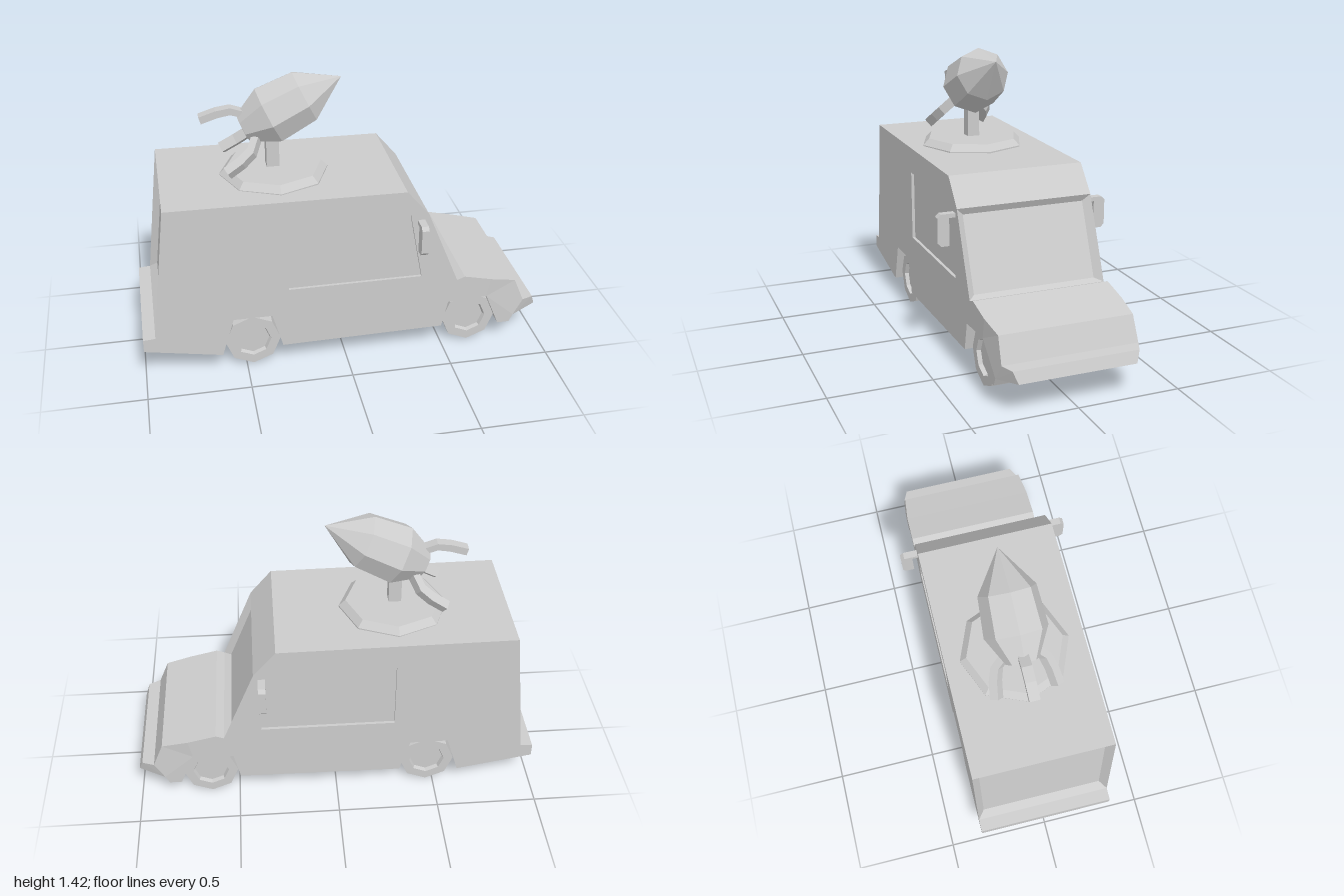
import * as THREE from 'three';

const material = new THREE.MeshStandardMaterial({ color: 0xcccccc, flatShading: true, side: THREE.DoubleSide });
const HALF = 0.34; // half width of the van

function add(parent, name, geometry, x = 0, y = 0, z = 0) {
  const mesh = new THREE.Mesh(geometry, material);
  mesh.name = name;
  mesh.position.set(x, y, z);
  parent.add(mesh);
  return mesh;
}

const lathe = (points, sides = 8) =>
  new THREE.LatheGeometry(points.map(([r, y]) => new THREE.Vector2(r, y)), sides);

// Flat plate from an outline, centred on its thickness
function plate(points, depth) {
  const shape = new THREE.Shape(points.map(([x, y]) => new THREE.Vector2(x, y)));
  return new THREE.ExtrudeGeometry(shape, { depth, bevelEnabled: false }).translate(0, 0, -depth / 2);
}

// Symmetric shell from a counter-clockwise side outline of { x, y, w (half width), recess }.
// Edges marked with recess get a framed, sunken panel; hole is a sunken side window.
function shell(outline, hole = []) {
  const pos = [];
  const quad = (a, b, c, d) => pos.push(...a, ...b, ...c, ...a, ...c, ...d);
  const sunken = (outer, inner) => {
    outer.forEach((o, k) => quad(o, outer[(k + 1) % 4], inner[(k + 1) % 4], inner[k]));
    quad(...inner);
  };
  const across = (a, b, wa, wb) => [[a.x, a.y, wa], [a.x, a.y, -wa], [b.x, b.y, -wb], [b.x, b.y, wb]];

  // Strips across the width
  outline.forEach((a, i) => {
    const b = outline[(i + 1) % outline.length];
    const outer = across(a, b, a.w, b.w);
    if (!a.recess) return quad(...outer);
    const dx = b.x - a.x, dy = b.y - a.y, len = Math.hypot(dx, dy);
    const at = t => ({ x: a.x + dx * t - dy / len * a.recess, y: a.y + dy * t + dx / len * a.recess });
    sunken(outer, across(at(0.06), at(0.94), a.w - 0.035, b.w - 0.035));
  });

  // Both sides
  const v2 = p => new THREE.Vector2(p.x, p.y);
  const all = [...outline, ...hole];
  const faces = THREE.ShapeUtils.triangulateShape(outline.map(v2), hole.length ? [hole.map(v2)] : []);
  for (const s of [1, -1]) {
    for (const f of faces) {
      const order = s > 0 ? f : [f[2], f[1], f[0]];
      order.forEach(i => pos.push(all[i].x, all[i].y, s * all[i].w));
    }
    if (hole.length) {
      const ring = s > 0 ? [...hole].reverse() : hole;
      sunken(ring.map(p => [p.x, p.y, s * p.w]), ring.map(p => [p.x, p.y, s * (p.w - 0.015)]));
    }
  }
  const geometry = new THREE.BufferGeometry();
  geometry.setAttribute('position', new THREE.Float32BufferAttribute(pos, 3));
  geometry.computeVertexNormals();
  return geometry;
}

const point = ([x, y, w = HALF, recess = 0]) => ({ x, y, w, recess });

export function createModel() {
  const model = new THREE.Group();
  model.name = 'van';

  // Van body with wheel arches, sunken windscreen, rear door and side windows
  const body = [
    [-1, 0.165], [-0.62, 0.095], [-0.56, 0.295], [-0.37, 0.295], [-0.32, 0.115],
    [0.49, 0.125], [0.52, 0.265], [0.72, 0.275], [0.74, 0.373], [0.6, 0.405],
    [0.56, 0.39, HALF, 0.03], [0.4, 0.78], [0.29, 0.91],
    [-0.86, 0.92, HALF, 0.035], [-0.94, 0.235], [-1, 0.23],
  ].map(point);
  const sideWindow = [[-0.285, 0.785], [0.31, 0.785], [0.375, 0.435], [-0.285, 0.435]].map(point);
  add(model, 'body', shell(body, sideWindow));

  // Tapered nose with bumper
  const nose = [
    [0.72, 0.275], [0.79, 0.105], [0.85, 0.105], [0.87, 0.145], [1, 0.165, 0.285],
    [0.98, 0.22, 0.305], [0.92, 0.225, 0.332], [0.87, 0.345, 0.327], [0.74, 0.373],
  ].map(point);
  add(model, 'nose', shell(nose));

  // Wheels with sunken hubs, and door mirrors
  const wheel = lathe([[0, -0.065], [0.137, -0.065], [0.137, 0.065], [0.09, 0.065], [0.083, 0.045], [0, 0.045]]);
  const mirror = plate([
    [0.335, 0.735], [0.37, 0.735], [0.37, 0.6], [0.41, 0.6],
    [0.427, 0.618], [0.427, 0.738], [0.41, 0.755], [0.335, 0.755],
  ], 0.035);
  for (const s of [1, -1]) {
    for (const [x, end] of [[-0.465, 'rear'], [0.64, 'front']]) {
      add(model, end + 'Wheel', wheel, x, 0.14, s * 0.24).rotation.x = s * Math.PI / 2;
    }
    add(model, 'doorMirror', mirror, 0.362).rotation.y = -s * Math.PI / 2;
  }

  // Roof mount
  add(model, 'roofBase', lathe([[0, -0.01], [0.267, -0.01], [0.267, 0.005], [0.235, 0.037], [0, 0.037]]), -0.3, 0.915);
  add(model, 'post', new THREE.BoxGeometry(0.062, 0.2, 0.062), -0.305, 1.03);

  // Tilted rocket: local y runs from tail to tip
  const rocket = new THREE.Group();
  rocket.name = 'rocket';
  rocket.position.set(-0.4375, 1.153, 0);
  rocket.rotation.z = -1.12;
  model.add(rocket);
  add(rocket, 'rocketBody', lathe([[0, 0], [0.078, 0], [0.15, 0.137], [0.136, 0.328], [0, 0.525]]));

  // Three curved tail fins
  const fin = plate([
    [-0.08, 0.047], [-0.132, -0.005], [-0.154, -0.073], [-0.166, -0.156],
    [-0.13, -0.162], [-0.118, -0.079], [-0.101, -0.021], [-0.06, 0.02],
  ], 0.05);
  for (const angle of [0, 125, -125]) {
    const mesh = add(rocket, 'tailFin', fin);
    mesh.rotation.y = THREE.MathUtils.degToRad(angle);
    if (angle) mesh.scale.x = 1.2;
  }
  return model;
}
